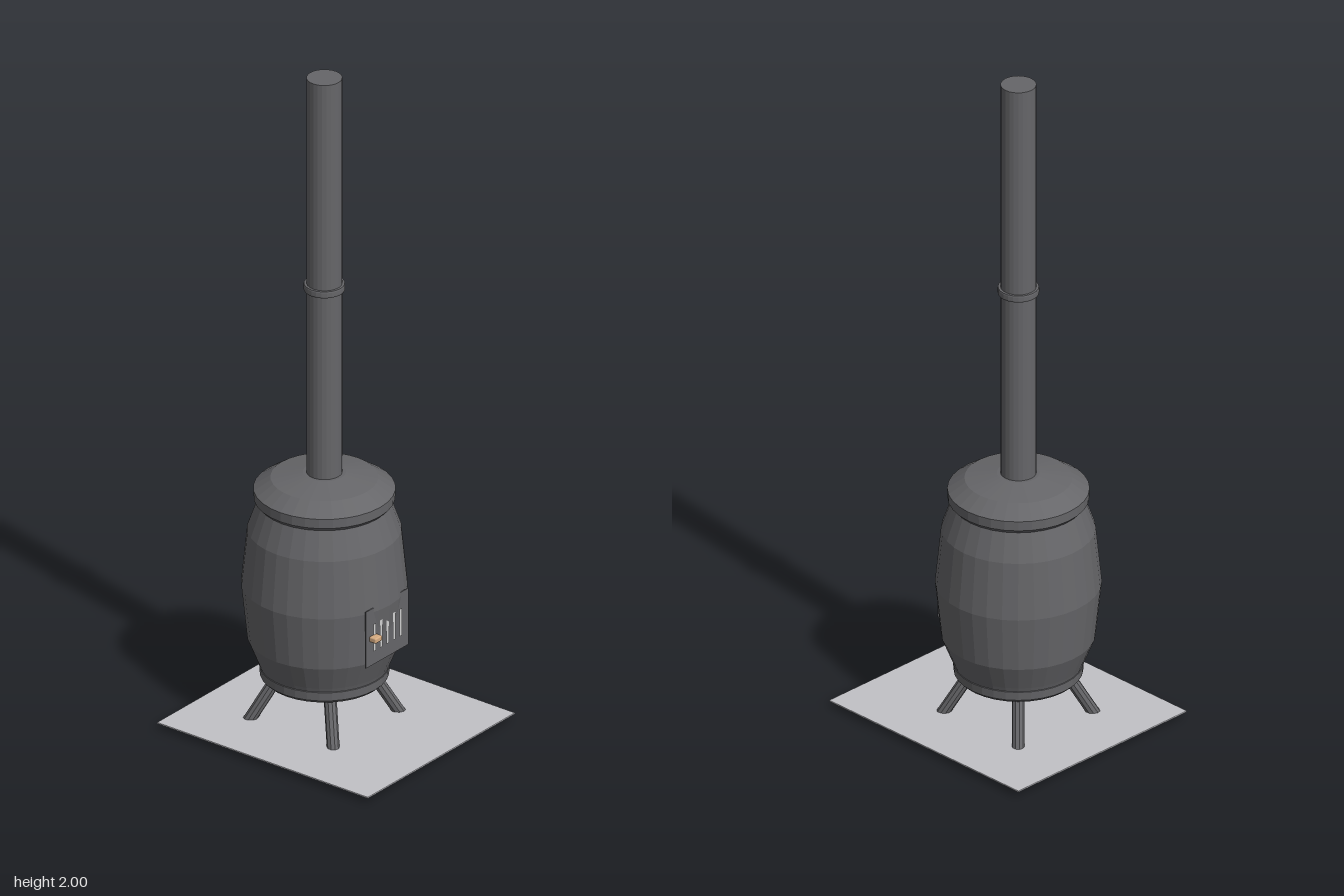
import * as THREE from 'three';
import { RoundedBoxGeometry } from 'three/addons/geometries/RoundedBoxGeometry.js';

const AXIS_Z = -0.041; // the stove stands a little behind the plate's centre

export function createModel() {
  const model = new THREE.Group();
  model.name = 'stove';

  const paint = (name, color, options = {}) => {
    const m = new THREE.MeshStandardMaterial({ color, ...options });
    m.name = name;
    return m;
  };
  const iron = paint('cast iron', 0x666669, { flatShading: true });
  const steel = paint('pale steel', 0xc1c1c6);
  const glow = paint('pale vent', 0xd2d2d2);
  const copper = paint('copper', 0xd6ac82);

  const add = (name, geometry, material, x = 0, y = 0, z = 0) => {
    const mesh = new THREE.Mesh(geometry, material);
    mesh.name = name;
    mesh.position.set(x, y, z);
    model.add(mesh);
    return mesh;
  };
  const turned = (name, profile, segments = 32) =>
    add(name, new THREE.LatheGeometry(profile.map(([r, y]) => new THREE.Vector2(r, y)), segments),
      iron, 0, 0, AXIS_Z);

  // Barrel, base rim and lid
  turned('barrel', [[0, 0.16], [0.178, 0.17], [0.185, 0.19], [0.215, 0.265], [0.232, 0.43],
    [0.215, 0.6], [0.187, 0.68], [0.18, 0.7], [0, 0.7]]);
  turned('baseRim', [[0, 0.14], [0.17, 0.14], [0.18, 0.15], [0.182, 0.176], [0.175, 0.183], [0, 0.183]]);
  turned('lid', [[0, 0.682], [0.185, 0.682], [0.197, 0.695], [0.198, 0.724], [0.15, 0.757],
    [0.06, 0.773], [0, 0.773]]);

  // Chimney pipe with its joint collar
  turned('chimneyPipe', [[0, 0.76], [0.05, 0.76], [0.05, 2], [0, 2]], 24);
  turned('pipeCollar', [[0.048, 1.341], [0.057, 1.341], [0.058, 1.345], [0.058, 1.357],
    [0.057, 1.361], [0.048, 1.361]], 24);

  // Four splayed legs
  const up = new THREE.Vector3(0, 1, 0);
  for (const sx of [-1, 1]) {
    for (const sz of [-1, 1]) {
      const foot = new THREE.Vector3(sx * 0.15, 0.01, AXIS_Z + sz * 0.15);
      const top = new THREE.Vector3(sx * 0.085, 0.16, AXIS_Z + sz * 0.085);
      const along = top.clone().sub(foot);
      const leg = add('leg', new THREE.CylinderGeometry(0.018, 0.018, along.length(), 10), iron);
      leg.position.copy(foot).add(top).multiplyScalar(0.5);
      leg.quaternion.setFromUnitVectors(up, along.normalize());
    }
  }

  // Fire door: a flat sheet with pale vent slots and a small handle
  add('door', new THREE.BoxGeometry(0.192, 0.175, 0.003), iron, 0, 0.355, 0.18);
  for (let i = 0; i < 5; i++) {
    add('ventSlot', new THREE.PlaneGeometry(0.011, 0.085), glow, -0.062 + i * 0.029, 0.353, 0.1855);
  }
  add('doorHandle', new RoundedBoxGeometry(0.031, 0.016, 0.024, 2, 0.004), copper, -0.067, 0.353, 0.193);

  // Thin floor plate
  add('floorPlate', new THREE.BoxGeometry(0.66, 0.004, 0.744), steel, 0, 0.018, 0);

  return model;
}
